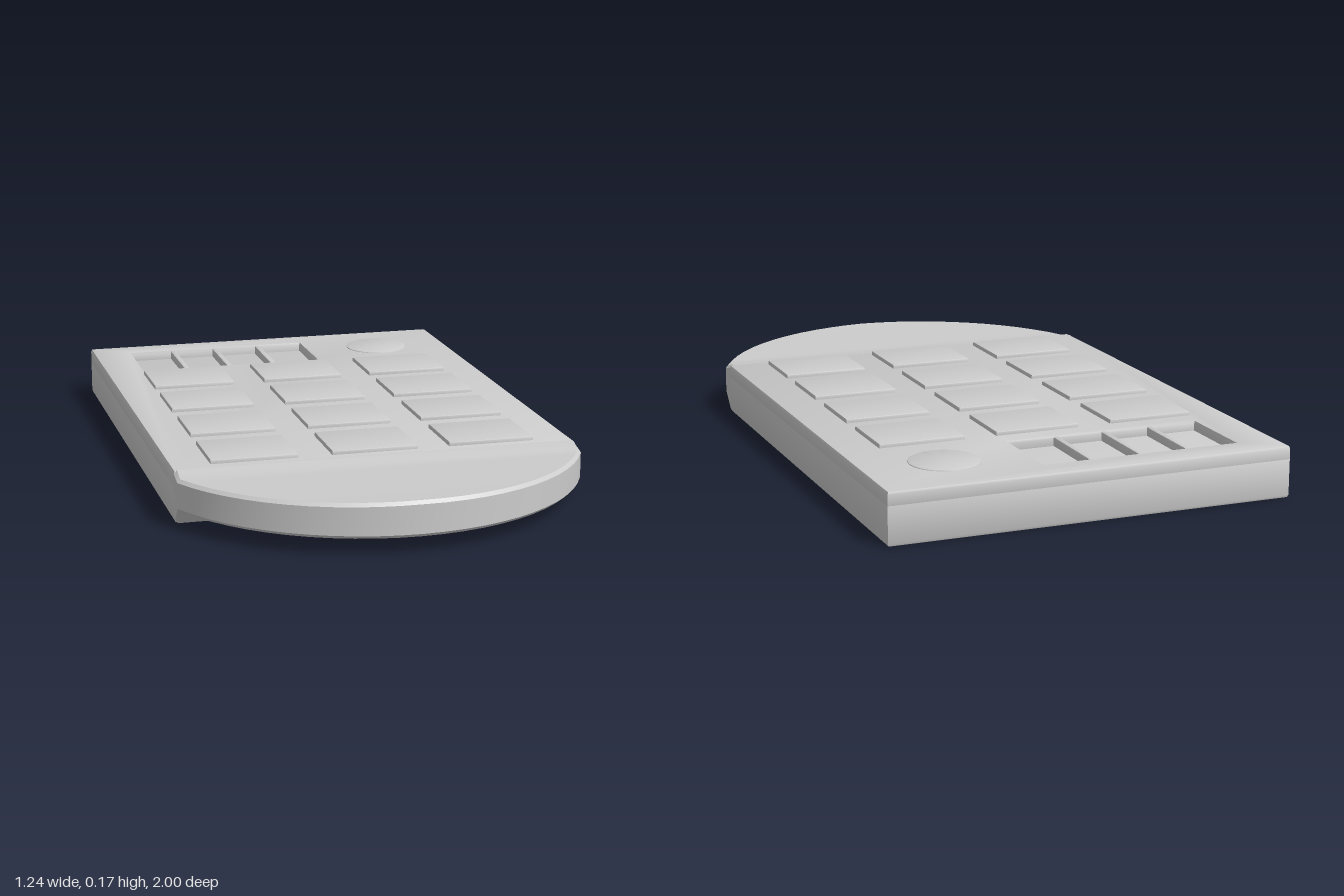
import * as THREE from 'three';
import { toCreasedNormals } from 'three/addons/utils/BufferGeometryUtils.js';

const mat = new THREE.MeshStandardMaterial({ color: 0xcccccc });

// Rectangle in plan, given in x and z (plan y is -z)
function rect(target, x0, x1, z0, z1) {
  target.moveTo(x0, -z1);
  target.lineTo(x1, -z1);
  target.lineTo(x1, -z0);
  target.lineTo(x0, -z0);
  target.closePath();
  return target;
}

// Bevelled slab standing between heights y0 and y1
function slab(shape, y0, y1, bevel) {
  const g = new THREE.ExtrudeGeometry(shape, {
    depth: y1 - y0 - 2 * bevel, bevelEnabled: true, bevelThickness: bevel,
    bevelSize: bevel, bevelOffset: -bevel, bevelSegments: 2, curveSegments: 24,
  });
  g.translate(0, 0, y0 + bevel);
  g.rotateX(-Math.PI / 2);
  return toCreasedNormals(g, 0.6);
}

// Rounded front lip, lofted from cross-sections along z
function lipGeometry() {
  const b = 0.01, W = 0.62, R = 0.68, zc = 0.32, steps = 12;
  // each row: outer half width and z, inner half width and z, bottom, top
  const rows = [
    [W, 0.535, W - b, 0.535, 0, 0.16],
    [W, 0.55, W - b, 0.55, 0, 0.16],
  ];
  const a0 = Math.asin(W / R);
  for (let i = 0; i <= steps; i++) {
    const a = a0 * (1 - i / steps), s = Math.sin(a), c = Math.cos(a);
    const top = 0.148 + 0.009 * (i / steps);
    rows.push([R * s, zc + R * c, (R - b) * s, zc + (R - b) * c, 0.05, top]);
  }
  const pos = [], idx = [], n = 8;
  for (const [w, z, wi, zi, bot, top] of rows) {
    pos.push(wi, bot, zi, w, bot + b, z, w, top - b, z, wi, top, zi);
    pos.push(-wi, top, zi, -w, top - b, z, -w, bot + b, z, -wi, bot, zi);
  }
  for (let i = 0; i < rows.length - 1; i++) {
    for (let j = 0; j < n; j++) {
      const p = i * n + j, q = i * n + (j + 1) % n;
      idx.push(p, q, p + n, q, q + n, p + n);
    }
  }
  const g = new THREE.BufferGeometry();
  g.setAttribute('position', new THREE.Float32BufferAttribute(pos, 3));
  g.setIndex(idx);
  return toCreasedNormals(g, 0.5);
}

export function createModel() {
  const model = new THREE.Group();
  model.name = 'keypad';
  const add = (name, geometry, parent = model) => {
    const mesh = new THREE.Mesh(geometry, mat);
    mesh.name = name;
    parent.add(mesh);
    return mesh;
  };

  // Lower body, its top forming the display floor
  add('lowerBody', slab(rect(new THREE.Shape(), -0.62, 0.62, -1, 0.55), 0, 0.128, 0.01));

  // Upper body with the display opening
  const face = rect(new THREE.Shape(), -0.62, 0.62, -1, 0.55);
  face.holes.push(rect(new THREE.Path(), -0.49, 0.12, -0.91, -0.65));
  add('upperBody', slab(face, 0.1, 0.16, 0.01));

  add('frontLip', lipGeometry());

  // Bars dividing the display into four windows
  const bars = new THREE.Group();
  bars.name = 'displayBars';
  model.add(bars);
  for (const x of [-0.34, -0.19, -0.035]) {
    add('displayBar', slab(rect(new THREE.Shape(), x - 0.009, x + 0.009, -0.92, -0.64), 0.11, 0.155, 0.004), bars);
  }

  // Round button, almost flush
  const dome = new THREE.LatheGeometry([
    new THREE.Vector2(0.107, 0.155), new THREE.Vector2(0.105, 0.162),
    new THREE.Vector2(0.098, 0.165), new THREE.Vector2(0, 0.165),
  ], 40);
  add('roundButton', toCreasedNormals(dome, 0.6)).position.set(0.37, 0, -0.78);

  // Grid of raised keys
  const keys = new THREE.Group();
  keys.name = 'keys';
  model.add(keys);
  const keyGeometry = slab(rect(new THREE.Shape(), -0.133, 0.133, -0.107, 0.107), 0.14, 0.173, 0.004);
  for (const z of [-0.485, -0.19, 0.108, 0.403]) {
    for (const x of [-0.37, 0, 0.365]) {
      add('key', keyGeometry, keys).position.set(x, 0, z);
    }
  }
  return model;
}
